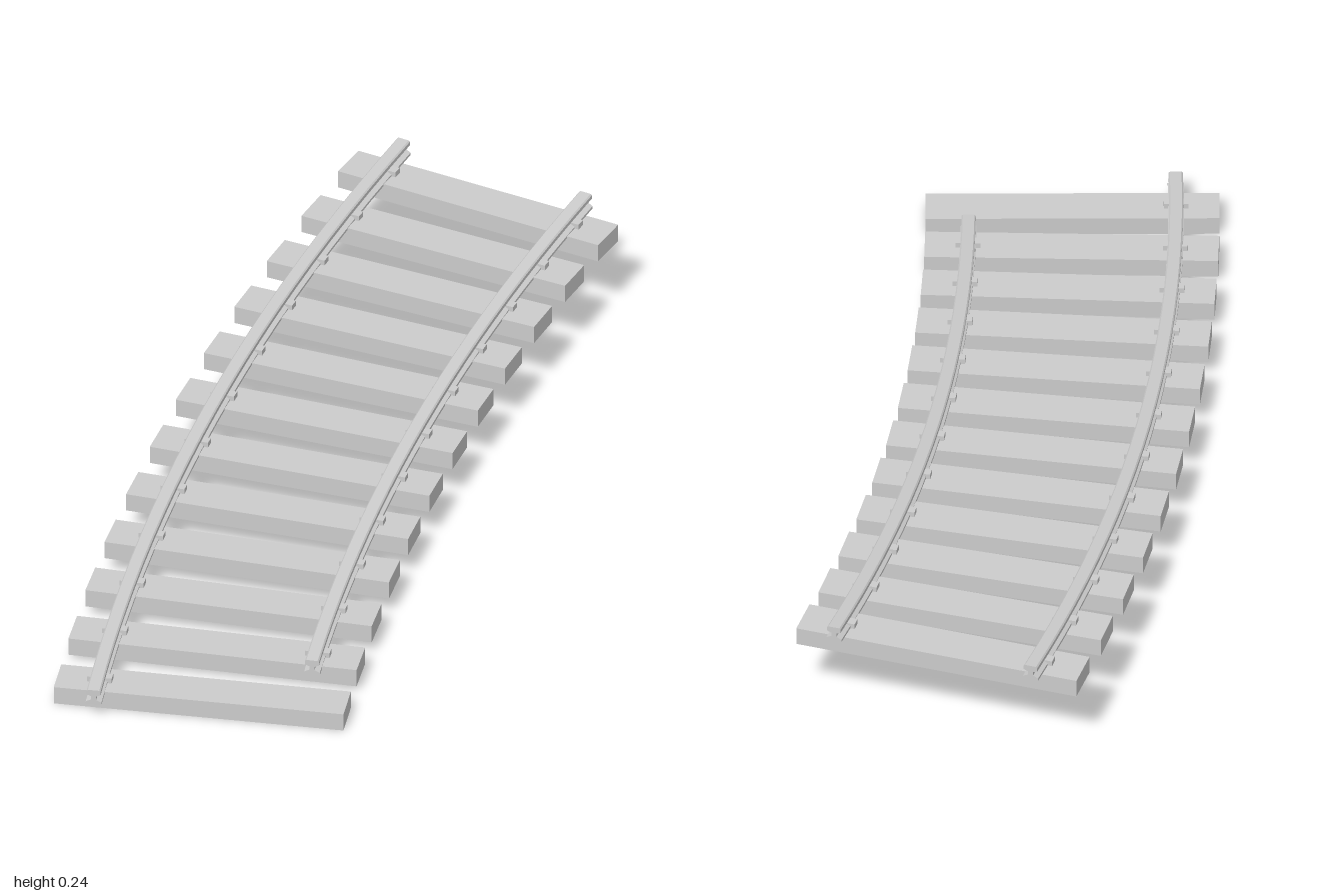
import * as THREE from 'three';

const DEG = Math.PI / 180;
const CX = 3.634, CZ = 4.871;        // centre of the track's curve
const R = 6.11, HALF_GAUGE = 0.233;
const FIRST = 44.4, LAST = 62.4;     // angles of first and last sleeper
const COUNT = 12, THICK = 0.043, RISE = 0.157;

const material = new THREE.MeshStandardMaterial({ color: 0xcccccc, flatShading: true });

// Climb along the curve: 0 at the first sleeper, RISE at the last
const climb = (deg) => RISE * (deg - FIRST) / (LAST - FIRST);

// Point on the track at a radius, an angle and a height over the sleeper tops
function trackPoint(radius, deg, up) {
  const a = deg * DEG;
  return new THREE.Vector3(
    CX - radius * Math.cos(a), THICK + climb(deg) + up, CZ - radius * Math.sin(a));
}

// I-shaped rail section, extruded and then bent along the climbing curve
function railGeometry(radius, from, to) {
  const half = [[0.018, 0], [0.018, 0.006], [0.006, 0.012], [0.006, 0.021],
    [0.016, 0.025], [0.016, 0.034], [0.013, 0.037]];
  const points = [...half, ...half.map(([u, v]) => [-u, v]).reverse()];
  const shape = new THREE.Shape(points.map(([u, v]) => new THREE.Vector2(u, v)));
  const geometry = new THREE.ExtrudeGeometry(shape, { depth: 1, steps: 22, bevelEnabled: false });
  const pos = geometry.attributes.position;
  for (let i = 0; i < pos.count; i++) {
    const p = trackPoint(radius + pos.getX(i), from + (to - from) * pos.getZ(i), pos.getY(i) - 0.001);
    pos.setXYZ(i, p.x, p.y, p.z);
  }
  geometry.computeVertexNormals();
  return geometry;
}

export function createModel() {
  const group = new THREE.Group();
  const add = (name, geometry) => {
    const mesh = new THREE.Mesh(geometry, material);
    mesh.name = name;
    group.add(mesh);
    return mesh;
  };

  // The inner rail starts just past the first sleeper
  const rails = [
    { name: 'outerRail', radius: R + HALF_GAUGE, from: 43.58 },
    { name: 'innerRail', radius: R - HALF_GAUGE, from: 45.31 },
  ];
  for (const { name, radius, from } of rails) add(name, railGeometry(radius, from, 63.13));

  // Level sleepers stepping up the slope, with a clip under each rail
  const sleeperGeometry = new THREE.BoxGeometry(0.661, THICK, 0.097);
  const clipGeometry = new THREE.BoxGeometry(0.056, 0.013, 0.022);
  for (let i = 0; i < COUNT; i++) {
    const deg = FIRST + (LAST - FIRST) * i / (COUNT - 1);
    const sleeper = add('sleeper', sleeperGeometry);
    sleeper.position.copy(trackPoint(R, deg, -THICK / 2));
    sleeper.rotation.y = -deg * DEG;
    for (const { radius, from } of rails) {
      if (deg < from) continue;
      const clip = add('railClip', clipGeometry);
      clip.position.copy(trackPoint(radius, deg, 0.006));
      clip.rotation.y = -deg * DEG;
    }
  }
  return group;
}
